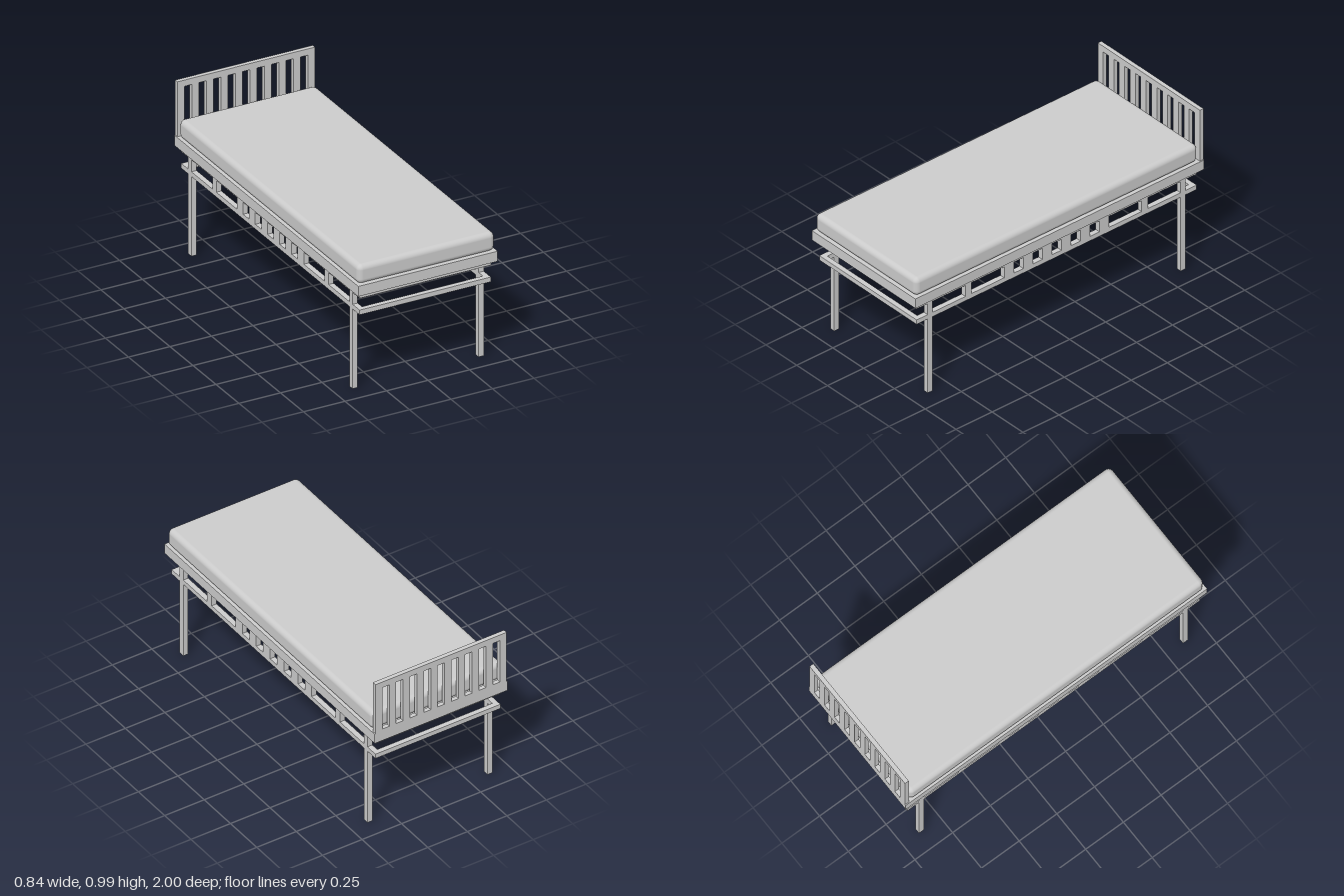
import * as THREE from 'three';
import { RoundedBoxGeometry } from 'three/addons/geometries/RoundedBoxGeometry.js';

export function createModel() {
  const model = new THREE.Group();
  const material = new THREE.MeshStandardMaterial({ color: 0xcccccc });

  const add = (name, geometry, x, y, z, parent = model) => {
    const mesh = new THREE.Mesh(geometry, material);
    mesh.name = name;
    mesh.position.set(x, y, z);
    parent.add(mesh);
    return mesh;
  };
  // Box given by its lower and upper corners
  const box = (name, [x0, y0, z0], [x1, y1, z1], parent) =>
    add(name, new THREE.BoxGeometry(x1 - x0, y1 - y0, z1 - z0),
      (x0 + x1) / 2, (y0 + y1) / 2, (z0 + z1) / 2, parent);
  const group = (name) => {
    const g = new THREE.Group();
    g.name = name;
    model.add(g);
    return g;
  };

  // Bed base and mattress
  box('bedBase', [-0.42, 0.6, -1], [0.42, 0.66, 1]);
  add('mattress', new RoundedBoxGeometry(0.824, 0.112, 1.956, 5, 0.03), 0, 0.714, 0.011);

  // Headboard: one panel pierced by nine upright openings
  const board = new THREE.Shape();
  board.moveTo(-0.414, 0.66);
  board.lineTo(0.414, 0.66);
  board.lineTo(0.414, 0.985);
  board.lineTo(-0.414, 0.985);
  board.closePath();
  const pitch = 0.0873, slat = 0.043;
  for (let i = 0; i < 9; i++) {
    const x = (i - 4) * pitch, w = (pitch - slat) / 2;
    const hole = new THREE.Path();
    hole.moveTo(x - w, 0.675);
    hole.lineTo(x - w, 0.948);
    hole.lineTo(x + w, 0.948);
    hole.lineTo(x + w, 0.675);
    hole.closePath();
    board.holes.push(hole);
  }
  add('headboard', new THREE.ExtrudeGeometry(board, { depth: 0.025, bevelEnabled: false }), 0, 0, -1);

  // Two rail frames running around under the base
  const outX = 0.395, inX = 0.364, outZ = 0.97, inZ = 0.94;
  for (const [name, y0, y1] of [['upperFrame', 0.57, 0.6], ['lowerFrame', 0.472, 0.5]]) {
    const frame = group(name);
    for (const s of [-1, 1]) {
      const x = s * (outX + inX) / 2, z = s * (outZ + inZ) / 2;
      box('sideRail', [x - 0.0155, y0, -outZ], [x + 0.0155, y1, outZ], frame);
      box('endRail', [-inX, y0, z - 0.015], [inX, y1, z + 0.015], frame);
    }
  }

  // Legs and the spacer blocks between the side rails
  const legs = group('legs');
  const spacers = group('spacers');
  const blocks = [[0.066, 0.066], [0.198, 0.066], [0.33, 0.066], [0.61, 0.043]];
  for (const sx of [-1, 1]) {
    const x = sx * (outX + inX) / 2;
    for (const sz of [-1, 1]) {
      const z = sz * 0.876;
      box('leg', [x - 0.0155, 0, z - 0.017], [x + 0.0155, 0.6, z + 0.017], legs);
      for (const [c, w] of blocks)
        box('spacer', [x - 0.0155, 0.5, sz * c - w / 2], [x + 0.0155, 0.57, sz * c + w / 2], spacers);
    }
  }
  return model;
}
